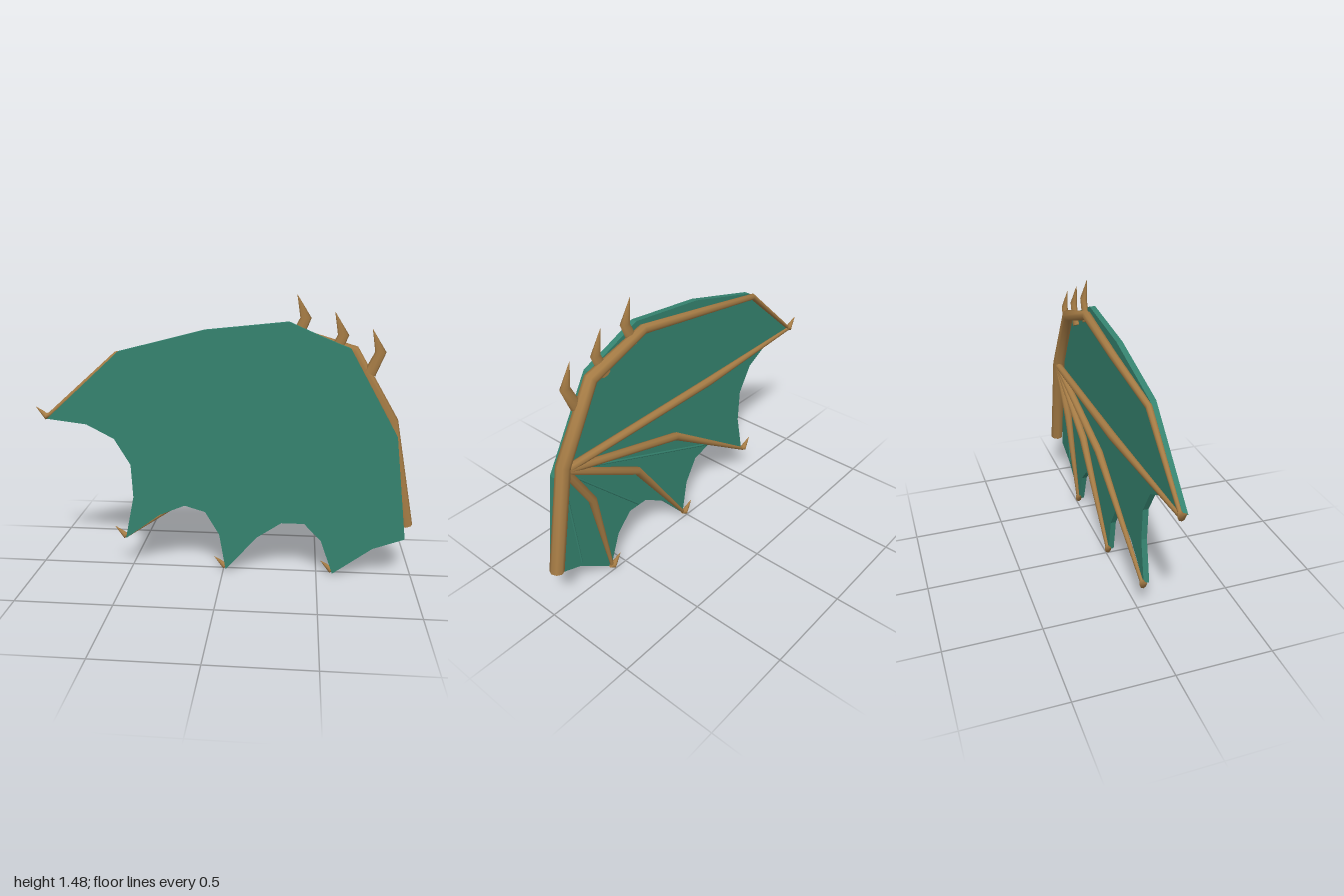
import * as THREE from 'three';

const SIDES = 8;

// Tapered limb through points [x, y, z, radius]; flat = depth scale of the section
function limb(points, flat = 1) {
  const pos = [], idx = [];
  const P = points.map(p => new THREE.Vector3(p[0], p[1], p[2]));
  const ring = i => {
    const a = P[Math.max(i - 1, 0)], b = P[i], c = P[Math.min(i + 1, P.length - 1)];
    const t = new THREE.Vector3();
    if (i > 0) t.add(b.clone().sub(a).normalize());
    if (i < P.length - 1) t.add(c.clone().sub(b).normalize());
    t.z = 0;
    t.normalize();
    const r = points[i][3], start = pos.length / 3;
    for (let j = 0; j < SIDES; j++) {
      const w = j / SIDES * Math.PI * 2, u = Math.cos(w) * r;
      pos.push(b.x - t.y * u, b.y + t.x * u, b.z + Math.sin(w) * r * flat);
    }
    return start;
  };
  const starts = P.map((_, i) => ring(i));
  for (let i = 0; i < P.length - 1; i++) {
    for (let j = 0; j < SIDES; j++) {
      const k = (j + 1) % SIDES, s = starts[i], e = starts[i + 1];
      idx.push(s + j, s + k, e + j, s + k, e + k, e + j);
    }
  }
  // end caps with their own vertices, so the rims stay sharp
  for (const [i, first] of [[0, true], [P.length - 1, false]]) {
    const s = ring(i), c = pos.length / 3;
    pos.push(P[i].x, P[i].y, P[i].z);
    for (let j = 0; j < SIDES; j++) {
      const k = (j + 1) % SIDES;
      if (first) idx.push(c, s + k, s + j);
      else idx.push(c, s + j, s + k);
    }
  }
  const g = new THREE.BufferGeometry();
  g.setAttribute('position', new THREE.Float32BufferAttribute(pos, 3));
  g.setIndex(idx);
  g.computeVertexNormals();
  return g;
}

export function createModel() {
  const wing = new THREE.Group();
  wing.name = 'wing';
  const skin = new THREE.MeshStandardMaterial({ color: 0x35836f });
  skin.name = 'green skin';
  const bone = new THREE.MeshStandardMaterial({ color: 0xa67c45 });
  bone.name = 'tan bone';
  const add = (name, geometry, material) => {
    const m = new THREE.Mesh(geometry, material);
    m.name = name;
    wing.add(m);
  };

  // Scalloped membrane
  const outline = [
    [-0.93, 0.835], [-0.72, 0.81], [-0.575, 0.735], [-0.49, 0.595], [-0.48, 0.415],
    [-0.527, 0.18], [-0.34, 0.32], [-0.205, 0.377], [-0.095, 0.345], [-0.02, 0.22],
    [0.015, 0.02], [0.18, 0.21], [0.31, 0.297], [0.43, 0.297], [0.52, 0.205],
    [0.585, 0.02], [0.79, 0.17], [0.955, 0.23], [0.89, 0.78], [0.64, 1.225],
    [0.49, 1.285], [0.33, 1.355], [-0.095, 1.31], [-0.54, 1.195],
  ];
  const shape = new THREE.Shape(outline.map(p => new THREE.Vector2(...p)));
  const membrane = new THREE.ExtrudeGeometry(shape, { depth: 0.03, bevelEnabled: false });
  membrane.translate(0, 0, 0.02);
  add('membrane', membrane, skin);

  // Thin folds on the back of the membrane
  for (const [x, y] of [[-0.2, 0.385], [0.37, 0.31], [0.78, 0.19]]) {
    add('membraneFold', limb([[0.85, 0.8, 0.016, 0.006], [x, y, 0.02, 0.006]]), skin);
  }

  // Arm and leading edge
  add('arm', limb([
    [0.963, 0.285, -0.015, 0.036], [0.86, 0.845, -0.013, 0.036],
    [0.655, 1.205, -0.008, 0.033], [0.31, 1.315, -0.003, 0.025],
    [-0.12, 1.25, -0.004, 0.021], [-0.555, 1.175, 0.01, 0.017], [-0.94, 0.838, 0.012, 0.01],
  ]), bone);

  // Fingers fanning out from the elbow
  const fingers = [
    [[-0.15, 0.832, -0.018], [-0.935, 0.838, 0.01]],
    [[0.1, 0.61, -0.008], [-0.53, 0.18, 0.012]],
    [[0.39, 0.55, -0.008], [0.012, 0.025, 0.012]],
    [[0.7, 0.555, -0.008], [0.585, 0.025, 0.012]],
  ];
  for (const [mid, tip] of fingers) {
    add('finger', limb([[0.86, 0.825, -0.02, 0.02], [...mid, 0.022], [...tip, 0.009]]), bone);
    // Hooked claw at the finger tip
    const [x, y] = tip;
    add('fingerClaw', limb([
      [x + 0.012, y + 0.012, 0.012, 0.012], [x - 0.01, y + 0.002, 0.012, 0.018],
      [x - 0.033, y + 0.027, 0.012, 0.01], [x - 0.063, y + 0.053, 0.012, 0.0005],
    ]), bone);
  }

  // Bent spikes along the top edge
  for (const [x, y] of [[0.367, 1.488], [0.555, 1.405], [0.742, 1.322]]) {
    add('spike', limb([
      [x - 0.005, y - 0.225, 0.01, 0.031], [x + 0.045, y - 0.115, 0.012, 0.028],
      [x, y, 0.018, 0.0005],
    ], 0.62), bone);
  }
  return wing;
}
